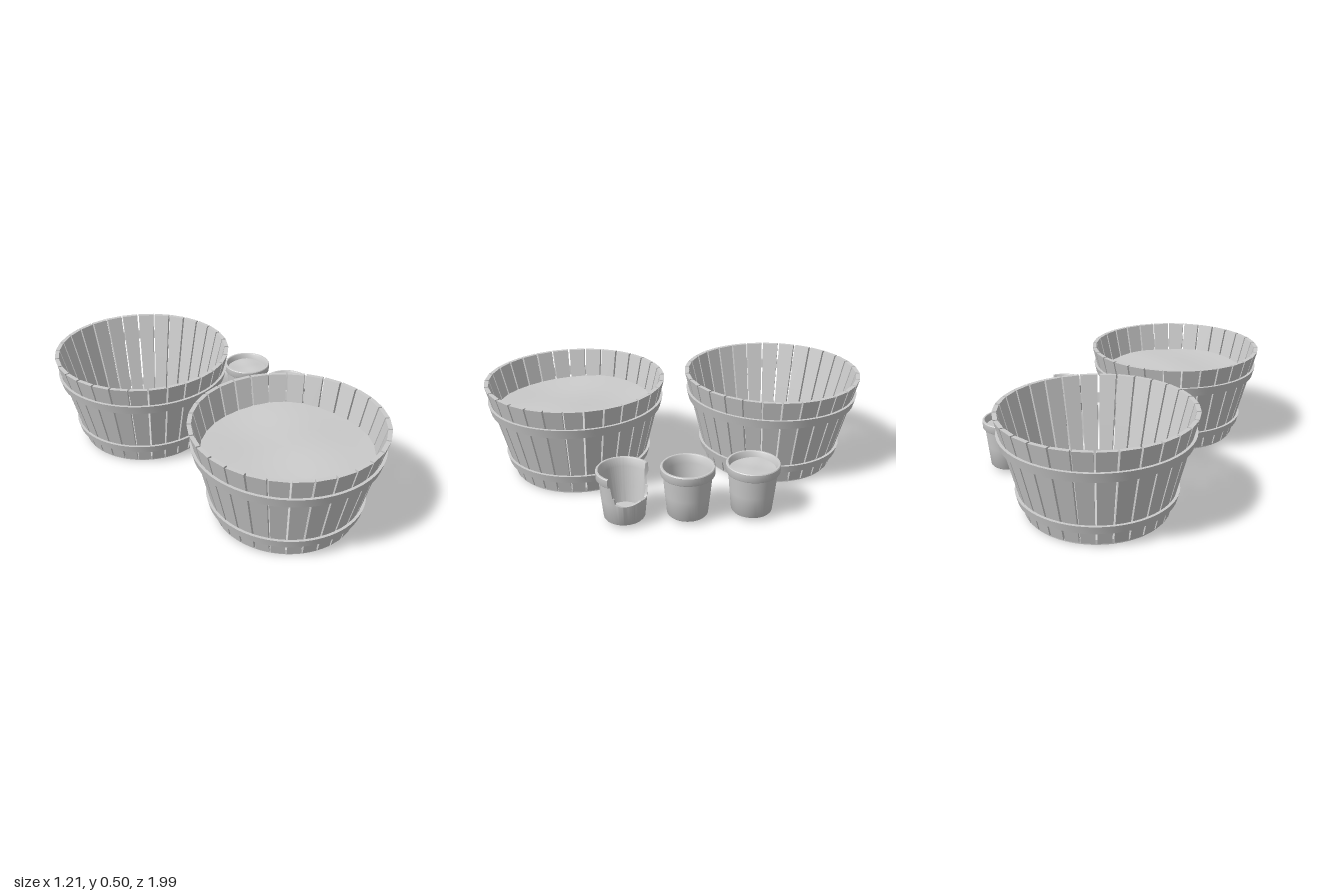
import * as THREE from 'three';
import { toCreasedNormals } from 'three/addons/utils/BufferGeometryUtils.js';

const grey = new THREE.MeshStandardMaterial({ color: 0xcccccc });
const greyTwoSided = new THREE.MeshStandardMaterial({ color: 0xcccccc, side: THREE.DoubleSide });
const { lerp, mapLinear } = THREE.MathUtils;

function add(parent, name, geometry, material = grey) {
  const mesh = new THREE.Mesh(geometry, material);
  mesh.name = name;
  parent.add(mesh);
  return mesh;
}

function lathe(points, segments) {
  return new THREE.LatheGeometry(points.map(([r, y]) => new THREE.Vector2(r, y)), segments);
}

// Gently uneven earth disc
function soil(radius, y, bump) {
  const geo = new THREE.RingGeometry(0, radius, 48, 8).rotateX(-Math.PI / 2);
  const p = geo.attributes.position;
  for (let i = 0; i < p.count; i++) {
    const x = p.getX(i) / radius, z = p.getZ(i) / radius;
    p.setY(i, y + bump * (Math.sin(4 * x + 2 * z) + Math.sin(5 * z - 3 * x + 1) * 0.7));
  }
  geo.computeVertexNormals();
  return geo;
}

// Wooden tub
const STAVES = 30, STAVE_BASE = 0.01, TUB_TOP = 0.505, STAVE_DEPTH = 0.021;
const tubRadius = (y) => mapLinear(y, STAVE_BASE, TUB_TOP, 0.347, 0.47);

// One tapered stave, narrowing toward the base, with a thin gap at each side
function staveGeometry() {
  const geo = new THREE.BoxGeometry(1, 1, 1, 1, 2, 1);
  const p = geo.attributes.position;
  for (let i = 0; i < p.count; i++) {
    const y = lerp(STAVE_BASE, TUB_TOP, p.getY(i) + 0.5);
    const r = tubRadius(y) - (p.getZ(i) > 0 ? 0 : STAVE_DEPTH);
    const a = Math.sign(p.getX(i)) * (Math.PI / STAVES - 0.0045 / r);
    p.setXYZ(i, r * Math.sin(a), y, r * Math.cos(a));
  }
  const flat = geo.toNonIndexed();
  flat.computeVertexNormals();
  return flat;
}

function hoopGeometry(y0, y1) {
  const a = tubRadius(y0), b = tubRadius(y1), t = 0.014;
  const geo = lathe([[a, y0], [a + t, y0], [b + t, y1], [b, y1], [a, y0]], 60);
  return toCreasedNormals(geo, 0.6);
}

function makeTub(name, z, filled) {
  const tub = new THREE.Group();
  tub.name = name;
  tub.position.set(-0.14, 0, z);
  const stave = staveGeometry();
  for (let i = 0; i < STAVES; i++) {
    add(tub, 'stave', stave).rotation.y = ((i + 0.5) / STAVES) * Math.PI * 2;
  }
  add(tub, 'lowerHoop', hoopGeometry(0.078, 0.118));
  add(tub, 'upperHoop', hoopGeometry(0.36, 0.407));
  add(tub, 'tubBase', new THREE.CylinderGeometry(0.338, 0.338, 0.025, 60).translate(0, 0.0125, 0));
  if (filled) add(tub, 'tubSoil', soil(0.417, 0.355, 0.005), greyTwoSided);
  return tub;
}

// Clay pot: solid profile from outer base, over the lip, to the inner floor
const POT = [
  [0, 0.02], [0.096, 0.02], [0.1, 0.025], [0.1105, 0.13], [0.119, 0.228],
  [0.128, 0.228], [0.131, 0.233], [0.131, 0.268], [0.128, 0.272], [0.12, 0.272],
  [0.117, 0.268], [0.109, 0.228], [0.0985, 0.13], [0.088, 0.04], [0, 0.035],
];
const INNER_START = 9;

// Jagged break line: [angle from +x toward +z in degrees, remaining height]
const BREAK = [
  [-180, 0.28], [-114, 0.28], [-110, 0.215], [-98, 0.17], [-88, 0.185], [-74, 0.13],
  [-45, 0.138], [-15, 0.128], [10, 0.125], [24, 0.135], [30, 0.165], [27.5, 0.165],
  [32, 0.2], [35, 0.28], [180, 0.28],
].sort((a, b) => a[0] - b[0]);

function breakHeight(deg) {
  const i = Math.max(1, BREAK.findIndex(([a]) => a >= deg));
  return mapLinear(deg, BREAK[i - 1][0], BREAK[i][0], BREAK[i - 1][1], BREAK[i][1]);
}

function potGeometry(broken) {
  const geo = lathe(POT, broken ? 120 : 48);
  if (broken) {
    const p = geo.attributes.position;
    for (let i = 0; i < p.count; i++) {
      const angle = Math.atan2(p.getZ(i), p.getX(i));
      const limit = breakHeight(THREE.MathUtils.radToDeg(angle));
      if (p.getY(i) <= limit) continue;
      // lower the wall to the break line, keeping its thickness
      const outer = i % POT.length < INNER_START;
      let r = outer ? mapLinear(limit, 0.025, 0.228, 0.1, 0.119)
        : mapLinear(limit, 0.04, 0.228, 0.088, 0.109);
      if (outer && limit > 0.228 && i % POT.length > 4) r = 0.131;
      p.setXYZ(i, r * Math.cos(angle), limit, r * Math.sin(angle));
    }
  }
  return toCreasedNormals(geo, 0.6);
}

function makePot(name, z, { broken = false, filled = false } = {}) {
  const pot = new THREE.Group();
  pot.name = name;
  pot.position.set(0.47, 0, z);
  add(pot, 'potWall', potGeometry(broken), broken ? greyTwoSided : grey);
  if (filled) add(pot, 'potSoil', soil(0.113, 0.24, 0.002), greyTwoSided);
  return pot;
}

export function createModel() {
  const model = new THREE.Group();
  model.name = 'tubsAndPots';
  model.add(
    makeTub('filledTub', 0.527, true),
    makeTub('emptyTub', -0.527, false),
    makePot('filledPot', -0.315, { filled: true }),
    makePot('emptyPot', 0),
    makePot('brokenPot', 0.305, { broken: true }),
  );
  return model;
}
